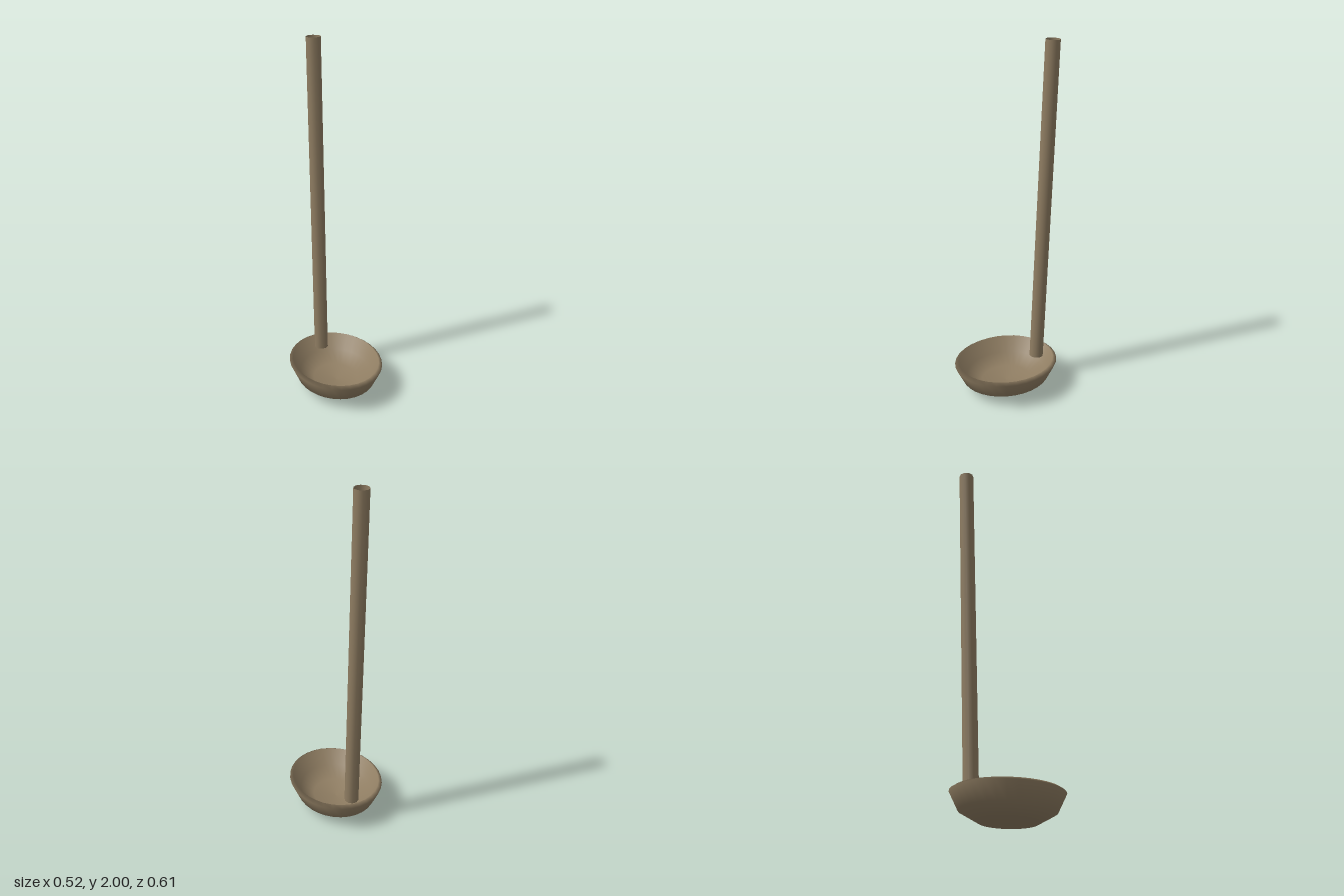
import * as THREE from 'three';

export function createModel() {
  const model = new THREE.Group();
  const wood = new THREE.MeshStandardMaterial({ color: 0x8f7d62, side: THREE.DoubleSide });
  wood.name = 'brown';

  // Oval bowl: outer wall, rolled lip, then inner wall back to the centre
  const profile = [
    [0, 0.004], [0.155, 0.012], [0.255, 0.068], [0.302, 0.163],
    [0.28, 0.177], [0.232, 0.088], [0.145, 0.038], [0, 0.03],
  ].map(([r, y]) => new THREE.Vector2(r, y));
  const bowlGeometry = new THREE.LatheGeometry(profile, 32);
  bowlGeometry.scale(0.868, 1, 1);
  const bowl = new THREE.Mesh(bowlGeometry, wood);
  bowl.name = 'bowl';
  model.add(bowl);

  // Hollow ten-sided handle, open at both ends and leaning back
  const bottom = new THREE.Vector3(0, 0.145, -0.2);
  const top = new THREE.Vector3(0, 1.9985, -0.266);
  const axis = top.clone().sub(bottom);
  const handleGeometry = new THREE.CylinderGeometry(0.04, 0.04, axis.length(), 10, 1, true);
  handleGeometry.rotateY(Math.PI / 10);
  const handle = new THREE.Mesh(handleGeometry, wood);
  handle.name = 'handle';
  handle.position.copy(bottom).add(top).multiplyScalar(0.5);
  handle.quaternion.setFromUnitVectors(new THREE.Vector3(0, 1, 0), axis.normalize());
  model.add(handle);

  return model;
}
